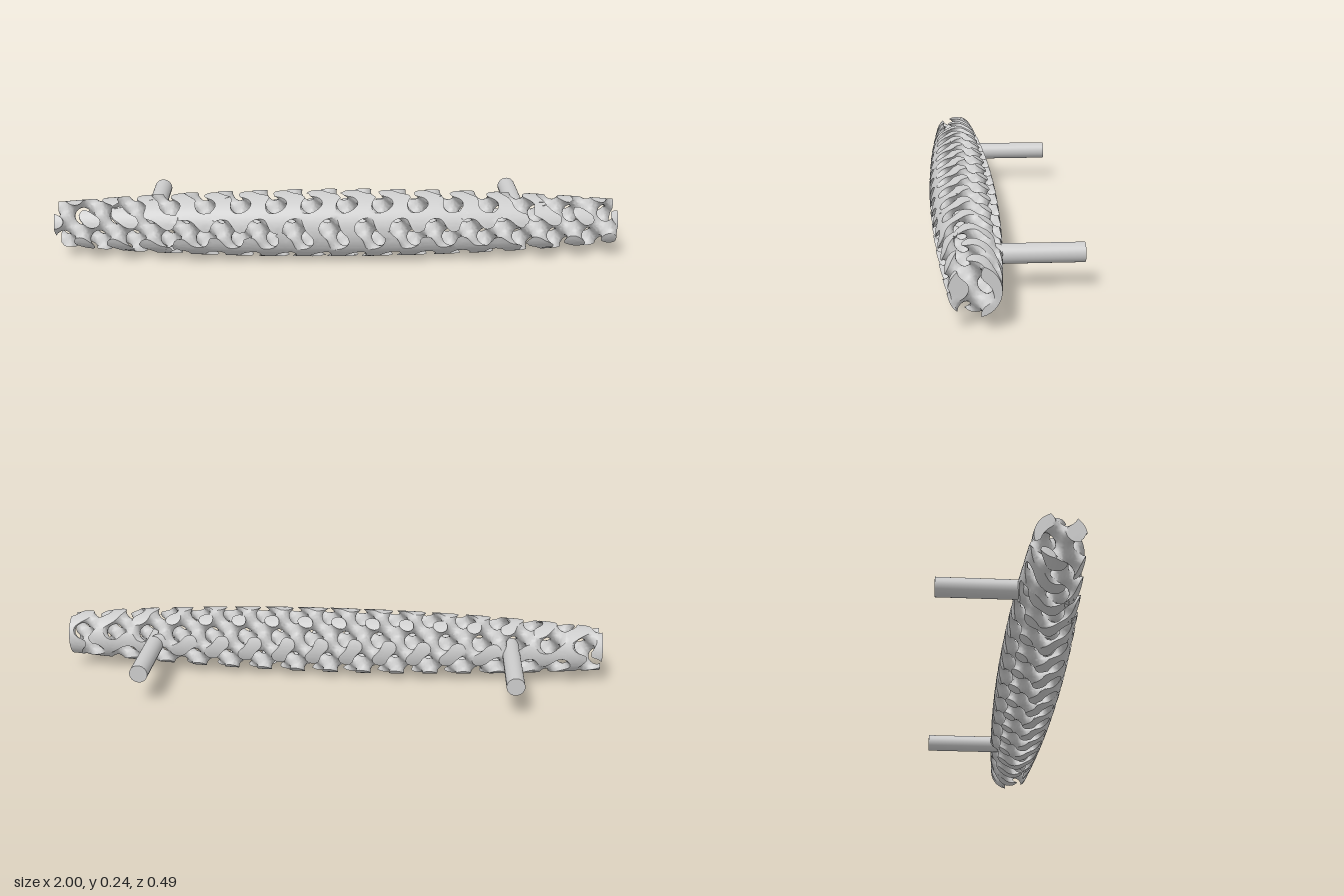
import * as THREE from 'three';
import { toCreasedNormals } from 'three/addons/utils/BufferGeometryUtils.js';

const CY = 0.122, CZ = 0.122;            // axis of the barrel
const PERIOD = 0.1252, K = 2 * Math.PI / PERIOD;
const LEVEL = -0.3;                      // strut thickness of the lattice
const { sin, cos, hypot, abs, max } = Math;

// Each field is negative inside: gyroid network, barrel envelope, flat ends
const fields = [
  (x, y, z) => {
    const X = K * (x + 0.011), Y = K * (y - CY) + Math.PI / 2, Z = K * (z - CZ) + Math.PI / 2;
    return (sin(X) * cos(Y) + sin(Y) * cos(Z) + sin(Z) * cos(X) - LEVEL) / (1.4 * K);
  },
  (x, y, z) => hypot(y - CY, z - CZ) - (0.122 - 0.042 * x * x),
  (x) => abs(x) - 1,
];
const solid = (p) => max(...fields.map((f) => f(...p)));

// Move a point onto the zero surface of one field
function project(p, f) {
  const e = 1e-4, v = f(...p);
  const g = [0, 1, 2].map((a) => {
    const q = [...p];
    q[a] += e;
    return (f(...q) - v) / e;
  });
  const s = v / max(g[0] ** 2 + g[1] ** 2 + g[2] ** 2, 0.15);
  for (let a = 0; a < 3; a++) p[a] -= g[a] * s;
}

// Mesh the solid with one vertex per boundary cell, kept sharp where fields meet
function latticeGeometry() {
  const h = 0.01, n = [204, 29, 29];
  const o = [-1.015, CY - 0.1403, CZ - 0.1403];
  const id = (i, j, k) => (i * n[1] + j) * n[2] + k;
  const at = (i, j, k) => [o[0] + i * h, o[1] + j * h, o[2] + k * h];
  const val = new Float32Array(n[0] * n[1] * n[2]);
  const each = (fn, end) => {
    for (let i = 0; i < n[0] - end; i++)
      for (let j = 0; j < n[1] - end; j++)
        for (let k = 0; k < n[2] - end; k++) fn(i, j, k);
  };
  each((i, j, k) => { val[id(i, j, k)] = solid(at(i, j, k)); }, 0);

  const axes = [[1, 0, 0], [0, 1, 0], [0, 0, 1]];
  const cellEdges = [];
  for (let a = 0; a < 3; a++)
    for (let u = 0; u < 2; u++)
      for (let w = 0; w < 2; w++) {
        const c = [0, 0, 0];
        c[(a + 1) % 3] = u;
        c[(a + 2) % 3] = w;
        cellEdges.push([c, a]);
      }

  // Vertices
  const positions = [], vertex = new Int32Array(val.length).fill(-1);
  each((i, j, k) => {
    const sum = [0, 0, 0], active = new Set();
    let count = 0;
    for (const [c, a] of cellEdges) {
      const s = [i + c[0], j + c[1], k + c[2]];
      const v0 = val[id(...s)];
      const v1 = val[id(s[0] + axes[a][0], s[1] + axes[a][1], s[2] + axes[a][2])];
      if ((v0 < 0) === (v1 < 0)) continue;
      const p = at(...s);
      p[a] += h * v0 / (v0 - v1);
      const f = fields.map((fn) => fn(...p));
      active.add(f.indexOf(max(...f)));
      for (let b = 0; b < 3; b++) sum[b] += p[b];
      count++;
    }
    if (!count) return;
    const start = sum.map((v) => v / count), p = [...start];
    for (let it = 0; it < 6; it++) for (const f of active) project(p, fields[f]);
    const d = hypot(p[0] - start[0], p[1] - start[1], p[2] - start[2]);
    const lim = d > h ? h / d : 1;
    vertex[id(i, j, k)] = positions.length / 3;
    for (let b = 0; b < 3; b++) positions.push(start[b] + (p[b] - start[b]) * lim);
  }, 1);

  // Faces
  const index = [];
  const dist = (u, w) => hypot(...[0, 1, 2].map((b) => positions[3 * u + b] - positions[3 * w + b]));
  each((i, j, k) => {
    const inside = val[id(i, j, k)] < 0;
    for (let a = 0; a < 3; a++) {
      const A = axes[a], B = axes[(a + 1) % 3], C = axes[(a + 2) % 3];
      if (inside === (val[id(i + A[0], j + A[1], k + A[2])] < 0)) continue;
      const q = [[1, 1], [0, 1], [0, 0], [1, 0]].map(([u, w]) =>
        vertex[id(i - u * B[0] - w * C[0], j - u * B[1] - w * C[1], k - u * B[2] - w * C[2])]);
      if (!inside) q.reverse();
      if (dist(q[0], q[2]) < dist(q[1], q[3])) index.push(q[0], q[1], q[2], q[0], q[2], q[3]);
      else index.push(q[0], q[1], q[3], q[1], q[2], q[3]);
    }
  }, 1);

  const geo = new THREE.BufferGeometry();
  geo.setAttribute('position', new THREE.Float32BufferAttribute(positions, 3));
  geo.setIndex(index);
  return toCreasedNormals(geo, 0.7);
}

export function createModel() {
  const group = new THREE.Group();
  const material = new THREE.MeshStandardMaterial({ color: 0xcccccc });

  // Barrel-shaped lattice grip
  const lattice = new THREE.Mesh(latticeGeometry(), material);
  lattice.name = 'latticeBar';
  group.add(lattice);

  // Two mounting pins reaching out of the back
  const front = 0.12, back = -0.243;
  for (const side of [1, -1]) {
    const pin = new THREE.Mesh(new THREE.CylinderGeometry(0.0325, 0.0325, front - back, 48), material);
    pin.rotation.x = Math.PI / 2;
    pin.position.set(side * 0.667, CY, (front + back) / 2);
    pin.name = side > 0 ? 'leftPin' : 'rightPin';
    group.add(pin);
  }
  return group;
}
